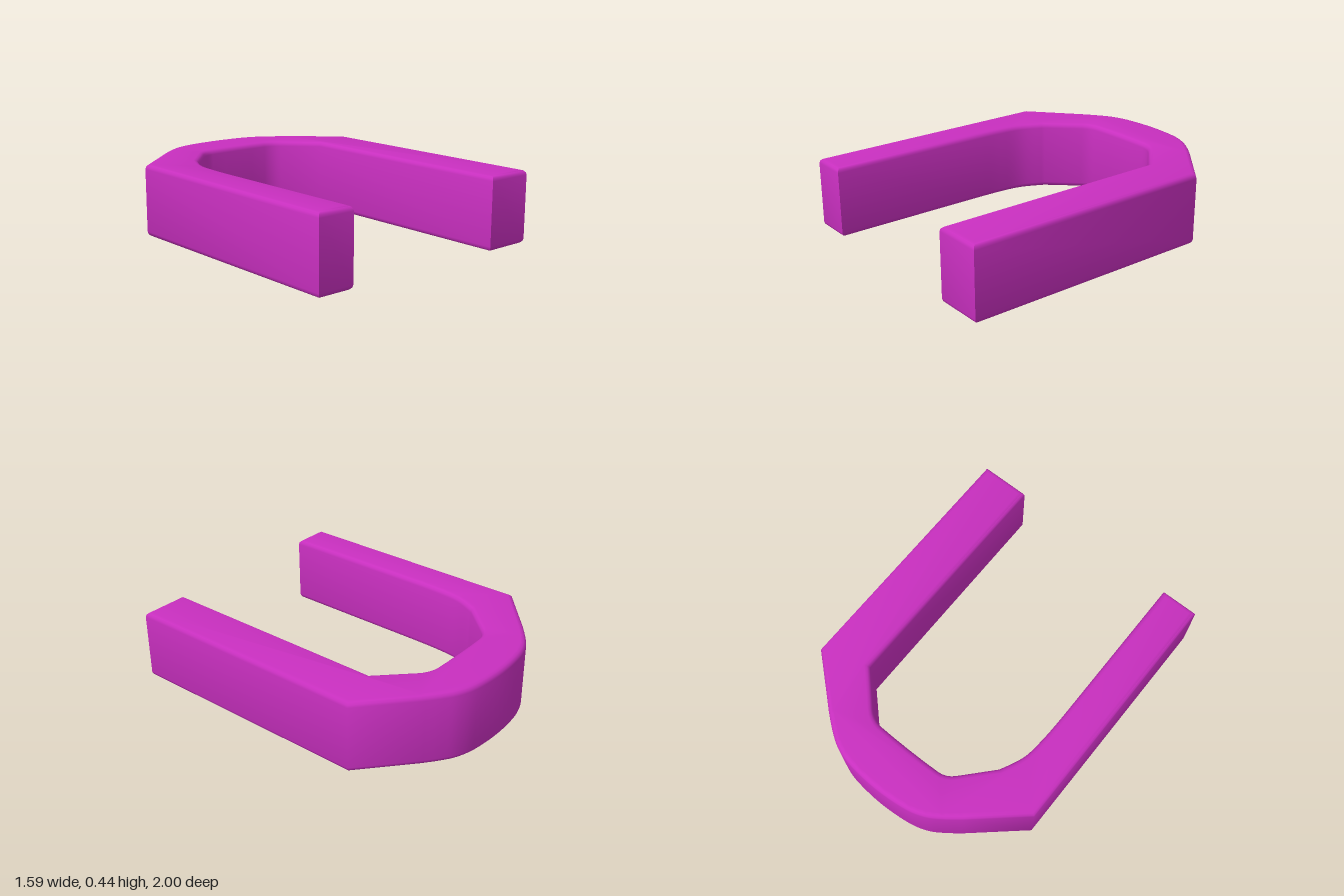
import * as THREE from 'three';
import { toCreasedNormals } from 'three/addons/utils/BufferGeometryUtils.js';

const HEIGHT = 0.44;
const BEVEL = 0.03;

export function createModel() {
  const group = new THREE.Group();
  group.name = 'archBracket';
  const points = (list) => list.map(([x, y]) => new THREE.Vector2(x, y));

  // Plan outline; shape y points to the back (-z)
  const shape = new THREE.Shape();
  shape.curveSegments = 4;
  shape.moveTo(0.495, -1);
  shape.lineTo(0.795, -1);
  shape.lineTo(0.795, 0.565);

  // Rounded back of the arch
  shape.lineTo(0.5, 0.825);
  shape.splineThru(points([[0.41, 0.895], [0.32, 0.95], [0.2, 0.985], [0, 1],
    [-0.2, 0.985], [-0.32, 0.95], [-0.41, 0.895], [-0.5, 0.825]]));

  // Narrow leg
  shape.lineTo(-0.795, 0.565);
  shape.lineTo(-0.795, -1);
  shape.lineTo(-0.565, -1);
  shape.lineTo(-0.565, 0);

  // Inner edge: soft bend into the narrow leg, sharp corner at the wide leg
  shape.splineThru(points([[-0.56, 0.17], [-0.54, 0.33], [-0.475, 0.475]]));
  shape.lineTo(-0.31, 0.655);
  shape.quadraticCurveTo(-0.27, 0.7, -0.21, 0.702);
  shape.quadraticCurveTo(0, 0.71, 0.21, 0.702);
  shape.quadraticCurveTo(0.27, 0.695, 0.31, 0.655);
  shape.lineTo(0.495, 0.47);
  shape.closePath();

  // Thick plate with rounded top and bottom edges
  const geometry = new THREE.ExtrudeGeometry(shape, {
    depth: HEIGHT - 2 * BEVEL,
    curveSegments: 4,
    bevelThickness: BEVEL,
    bevelSize: BEVEL,
    bevelOffset: -BEVEL,
    bevelSegments: 3,
  });
  geometry.rotateX(-Math.PI / 2);
  geometry.translate(0, BEVEL, 0);

  const arch = new THREE.Mesh(
    toCreasedNormals(geometry, 0.9),
    new THREE.MeshStandardMaterial({ color: 0xc82fbf })
  );
  arch.name = 'arch';
  group.add(arch);
  return group;
}
